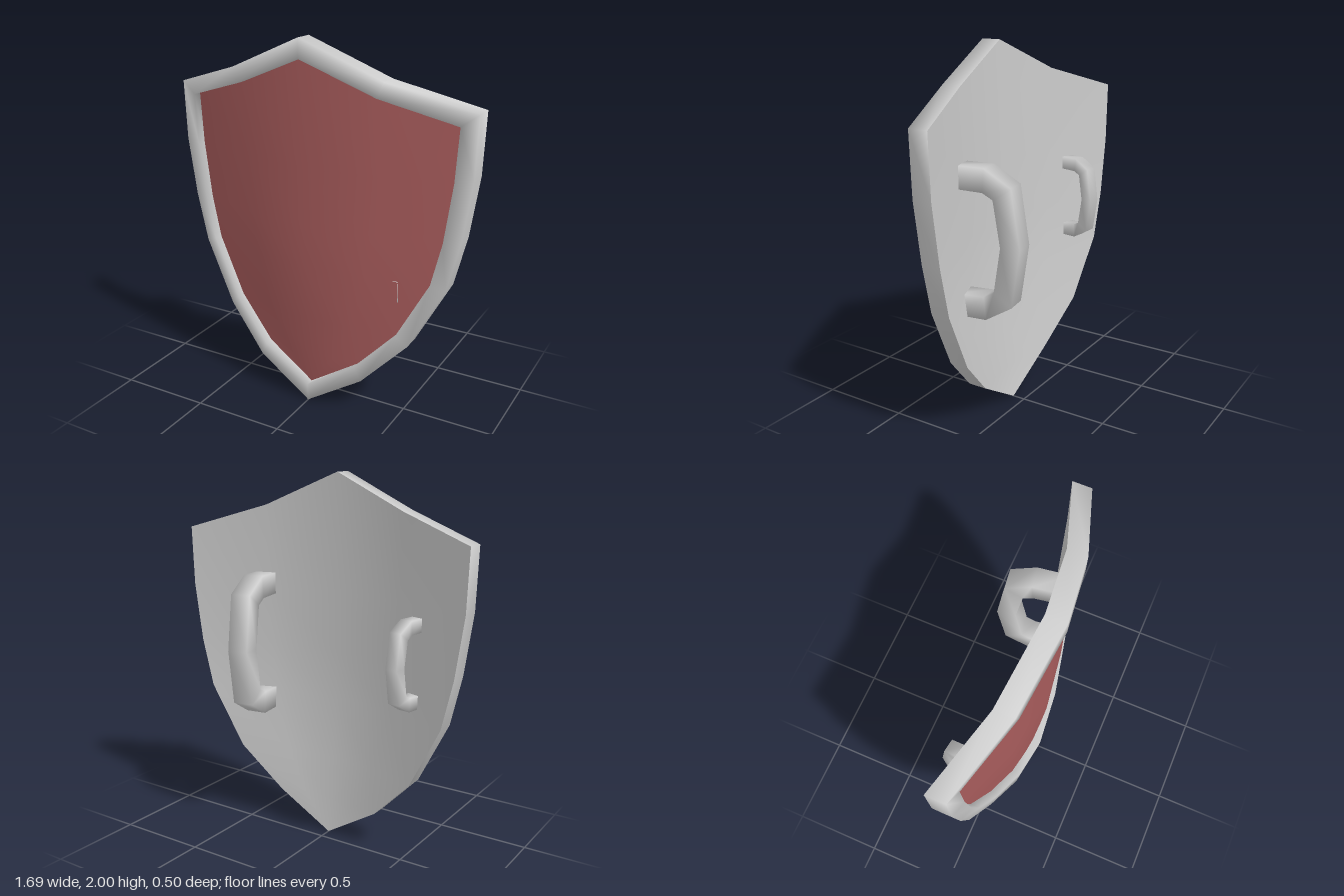
import * as THREE from 'three';
import { mergeVertices } from 'three/addons/utils/BufferGeometryUtils.js';

// Smooth surface through rows of equally many points
function skin(rows) {
  const n = rows[0].length, index = [];
  for (let i = 0; i < rows.length - 1; i++) {
    for (let j = 0; j < n - 1; j++) {
      const a = i * n + j, b = a + 1, d = a + n, c = d + 1;
      index.push(a, d, c, a, c, b);
    }
  }
  const g = new THREE.BufferGeometry();
  g.setAttribute('position', new THREE.Float32BufferAttribute(rows.flat(2), 3));
  g.setIndex(index);
  const merged = mergeVertices(g, 1e-4);
  merged.computeVertexNormals();
  return merged;
}

const mirror = ([x, y, z]) => [-x, y, z];

// Half outlines, apex to tip: outer edge (z of the back) and inner rim edge (z of the front)
const OUTER = [
  [0, 2, 0.145], [0.42, 1.82, 0.085], [0.845, 1.69, -0.05], [0.835, 1.37, -0.05], [0.79, 1.05, -0.05],
  [0.727, 0.785, -0.045], [0.545, 0.44, -0.01], [0.31, 0.2, 0.048], [0, 0.005, 0.07],
];
const INNER = [
  [0, 1.9, 0.25], [0.39, 1.74, 0.195], [0.76, 1.625, 0.075], [0.745, 1.35, 0.075], [0.705, 1.04, 0.078],
  [0.652, 0.81, 0.085], [0.487, 0.5, 0.12], [0.275, 0.28, 0.165], [0, 0.105, 0.185],
];
const RIM_DEPTH = 0.105, RECESS = 0.05;

// Bowed sheet filling a half outline and its mirror image
function sheet(edge, offset, facingBack) {
  const spine = (y) => offset + 0.07 + 0.075 * Math.min(1, y / 0.78);
  const rows = [[mirror(edge[2]), mirror(edge[1]), edge[0], edge[1], edge[2]]];
  for (const e of edge.slice(3)) {
    const [x, y, z] = e;
    const centre = x === 0 ? z : spine(y);
    const mid = [x / 2, y, z + 0.7 * (centre - z)];
    rows.push([mirror(e), mirror(mid), [0, y, centre], mid, e]);
  }
  return skin(facingBack ? rows.map((r) => r.reverse()) : rows);
}

// Raised border running once round the outline
function rimGeometry() {
  const half = OUTER.map(([x, y, z], i) => {
    const [ix, iy, iz] = INNER[i];
    return [[ix, iy, iz - RECESS - 0.01], [ix, iy, iz], [x, y, z + RIM_DEPTH], [x, y, z]];
  });
  const otherHalf = half.slice(0, -1).reverse().map((s) => s.map(mirror));
  return skin([...half, ...otherHalf]);
}

// Grip: rectangular section swept along a C; pairs are [height, depth]
function handleGeometry() {
  const w = 0.057;
  const outer = [[0.385, -0.03], [0.385, 0.14], [0.3, 0.28], [0, 0.325]];
  const inner = [[0.27, -0.03], [0.265, 0.13], [0.235, 0.185], [0, 0.222]];
  const upper = outer.map(([y, d], i) => {
    const [iy, id] = inner[i];
    return [[w, y, -d], [-w, y, -d], [-w, iy, -id], [w, iy, -id], [w, y, -d]];
  });
  const lower = upper.slice(0, -1).reverse().map((s) => s.map(([x, y, z]) => [x, -y, z]));
  return skin([...upper, ...lower]);
}

export function createModel() {
  const model = new THREE.Group();
  model.name = 'shield';
  const grey = new THREE.MeshStandardMaterial({ color: 0xcccccc });
  const red = new THREE.MeshStandardMaterial({ color: 0xa85c5c });

  const add = (name, geometry, material) => {
    const mesh = new THREE.Mesh(geometry, material);
    mesh.name = name;
    model.add(mesh);
    return mesh;
  };

  add('rim', rimGeometry(), grey);
  add('backPlate', sheet(OUTER, 0, true), grey);
  const panelEdge = INNER.map(([x, y, z]) => [x, y, z - RECESS]);
  add('frontPanel', sheet(panelEdge, 0.055, false), red);

  // Large and small grips, each standing square to the curved back
  const grip = handleGeometry();
  const large = add('armGrip', grip, grey);
  large.position.set(0.425, 1.067, 0.08);
  large.rotation.y = 0.147;
  const small = add('handGrip', grip, grey);
  small.position.set(-0.535, 1.08, 0.04);
  small.rotation.y = -0.16;
  small.scale.setScalar(0.6);

  return model;
}
